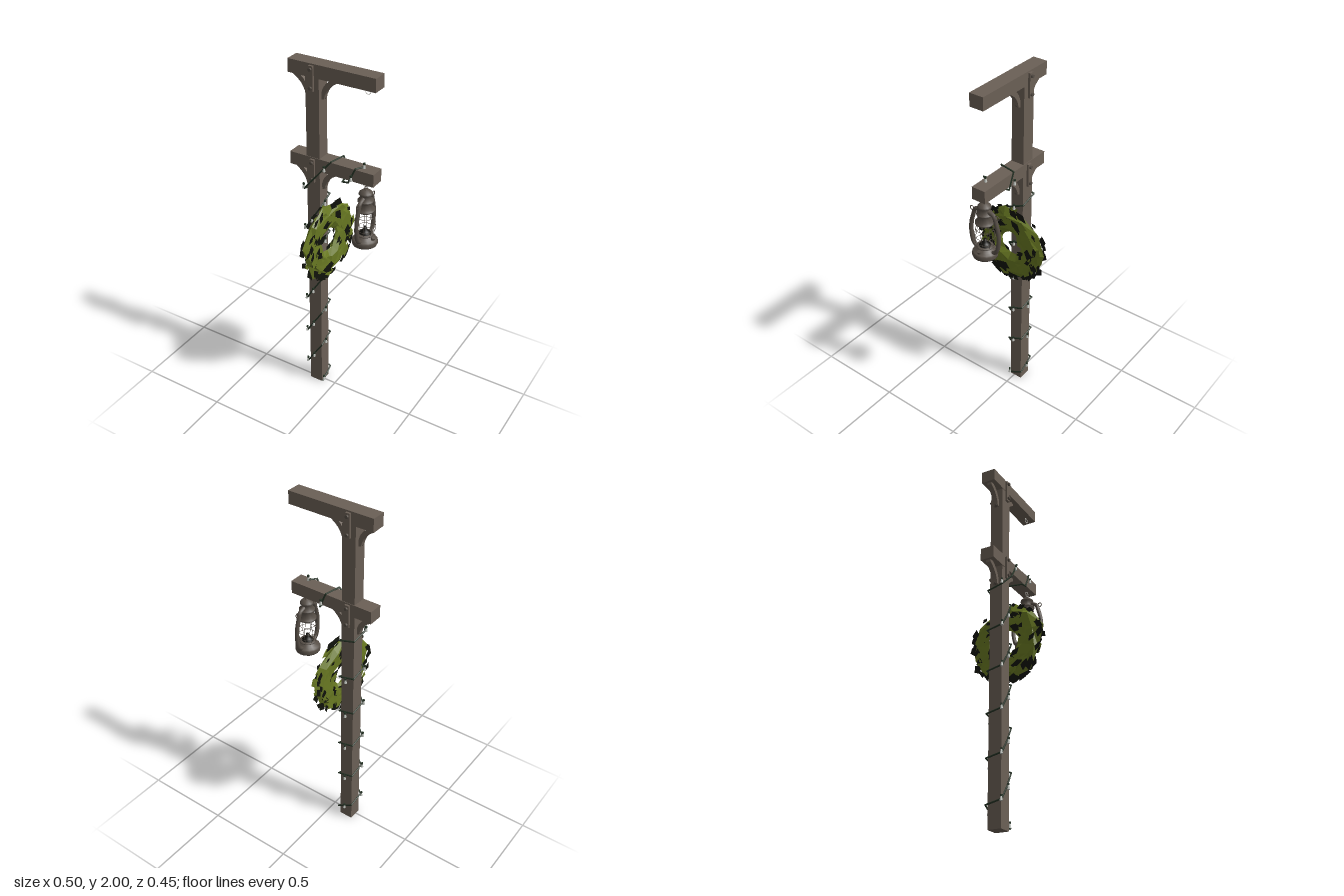
import * as THREE from 'three';

const mat = (name, color, side = THREE.FrontSide, flatShading = false) => {
  const m = new THREE.MeshStandardMaterial({ color, side, flatShading });
  m.name = name;
  return m;
};
const V = (x, y, z) => new THREE.Vector3(x, y, z);

export function createModel() {
  const wood = mat('weatheredWood', 0x6b6056, THREE.FrontSide, true);
  const metal = mat('agedMetal', 0x564e46, THREE.DoubleSide);
  const black = mat('soot', 0x14130f, THREE.DoubleSide);
  const leaf = mat('oliveLeaf', 0x687822, THREE.DoubleSide, true);
  const shade = mat('darkLeaf', 0x10120b, THREE.DoubleSide, true);
  const cord = mat('greenCord', 0x263426);
  const glow = mat('paleBulb', 0xc4c8c2);
  const hookMat = mat('paleHook', 0xd4d2cc);

  const root = new THREE.Group();
  root.name = 'lanternPost';
  const add = (name, geo, material, x = 0, y = 0, z = 0, parent = root) => {
    const m = new THREE.Mesh(geo, material);
    m.name = name;
    m.position.set(x, y, z);
    parent.add(m);
    return m;
  };
  const tube = (name, pts, r, material, parent = root, segs = 24, sides = 6) =>
    add(name, new THREE.TubeGeometry(new THREE.CatmullRomCurve3(pts), segs, r, sides), material, 0, 0, 0, parent);

  // Post, two cross beams, curved braces and bolted straps
  const PX = -0.1125, PZ = -0.01;
  add('post', new THREE.BoxGeometry(0.077, 1.96, 0.074), wood, PX, 0.98, PZ);

  const braceShape = new THREE.Shape();
  braceShape.moveTo(0, -0.115);
  braceShape.lineTo(0.014, -0.11);
  braceShape.quadraticCurveTo(0.022, -0.05, 0.085, -0.015);
  braceShape.lineTo(0.085, 0);
  braceShape.lineTo(0.06, 0);
  braceShape.quadraticCurveTo(0.01, -0.03, 0, -0.08);
  braceShape.closePath();
  const braceGeo = new THREE.ExtrudeGeometry(braceShape, { depth: 0.028, bevelEnabled: false, curveSegments: 5 });
  braceGeo.translate(0, 0, -0.014);

  for (const top of [2.0, 1.5]) {
    add('crossBeam', new THREE.BoxGeometry(0.49, 0.07, 0.08), wood, -0.005, top - 0.035, PZ);
    for (const s of [1, -1]) {
      const b = add('brace', braceGeo, wood, PX + s * 0.0385, top - 0.07, PZ);
      if (s < 0) b.rotation.y = Math.PI;
      for (const [dx, dy] of [[0.046, -0.175], [0.11, -0.078]])
        add('braceBolt', new THREE.SphereGeometry(0.01, 8, 6), metal, PX + s * dx, top + dy, PZ);
      add('strap', new THREE.BoxGeometry(0.026, 0.13, 0.012), wood, PX, top - 0.073, PZ + s * 0.046);
      for (const dy of [-0.025, -0.12]) {
        const bolt = add('strapBolt', new THREE.CylinderGeometry(0.009, 0.009, 0.012, 8), metal, PX, top + dy, PZ + s * 0.056);
        bolt.rotation.x = Math.PI / 2;
      }
    }
    // Hook below the outer end of the beam
    add('hook', new THREE.TorusGeometry(0.014, 0.002, 6, 16), hookMat, 0.183, top - 0.085, 0);
  }

  // Light string: steep climb on the front, shallow round the other sides
  const L = -0.158, R = -0.066, F = 0.035, B = -0.056;
  const path = [V(R, 0.01, F), V(R, 0.06, B)];
  for (let i = 0; i < 5; i++) {
    const y = 0.14 + i * 0.233;
    path.push(V(L, y - 0.02, B), V(L, y, F), V(PX, y + 0.075, F + 0.005), V(R, y + 0.15, F), V(R, y + 0.19, B));
  }
  path.push(V(L, 1.29, B), V(L - 0.005, 1.31, F), V(PX, 1.37, 0.064), V(0, 1.508, F),
    V(0.018, 1.508, B), V(0.055, 1.42, B), V(0.065, 1.415, F), V(0.1, 1.42, F), V(0.14, 1.508, F), V(0.165, 1.51, 0));
  const cordPath = new THREE.CurvePath();
  for (let i = 1; i < path.length; i++) cordPath.add(new THREE.LineCurve3(path[i - 1], path[i]));
  for (const c of cordPath.curves) {
    add('lightCord', new THREE.TubeGeometry(c, 1, 0.0045, 6), cord);
    add('cordBend', new THREE.SphereGeometry(0.0047, 6, 5), cord, c.v2.x, c.v2.y, c.v2.z);
  }
  const bulbGeo = new THREE.CylinderGeometry(0.004, 0.008, 0.022, 8);
  const bulb = (x, y, z) => {
    add('bulb', bulbGeo, glow, x, y, z);
    add('bulbSocket', new THREE.CylinderGeometry(0.006, 0.006, 0.01, 6), cord, x, y + 0.015, z);
  };
  for (let i = 0; i < 5; i++) {
    const y = 0.14 + i * 0.233;
    bulb(L - 0.006, y, F);
    bulb(PX, y + 0.065, F + 0.012);
    bulb(R + 0.006, y + 0.16, 0);
    bulb(PX, y - 0.05, B - 0.008);
  }
  bulb(R + 0.005, 0.03, F - 0.01);
  bulb(L - 0.01, 1.32, F);
  bulb(-0.035, 1.46, 0.048);
  bulb(0.035, 1.46, -0.075);
  bulb(0.125, 1.455, 0.052);
  bulb(0.17, 1.515, 0);

  // Wreath: ragged flattened ring with loose leaves
  let seed = 7;
  const rnd = () => (seed = (seed * 16807) % 2147483647) / 2147483647;
  const wreath = new THREE.Group();
  wreath.name = 'wreath';
  wreath.position.set(-0.042, 1.015, 0);
  wreath.rotation.set(0, Math.PI / 2 - 0.06, 0.06);
  root.add(wreath);
  const ring = new THREE.TorusGeometry(0.143, 0.075, 6, 11);
  const p = ring.attributes.position;
  for (let i = 0; i < p.count; i++) {
    const a = Math.atan2(p.getY(i), p.getX(i)), z = p.getZ(i);
    const k = 1 + 0.06 * Math.sin(a * 5 + z * 40) + 0.03 * Math.sin(a * 3 + 1);
    p.setXYZ(i, p.getX(i) * k, p.getY(i) * k, z * 0.36 + 0.004 * Math.sin(a * 4));
  }
  add('wreathRing', ring.toNonIndexed(), leaf, 0, 0, 0, wreath).geometry.computeVertexNormals();

  // Pointed leaves lie along the ring on both faces and stick out at the rim
  const leaves = (name, count, material, r0, r1, lift, size) => {
    const pos = [];
    for (let i = 0; i < count; i++) {
      const a = rnd() * Math.PI * 2, r = r0 + rnd() * (r1 - r0), side = i % 2 ? 1 : -1;
      const dir = a + Math.PI / 2 + (rnd() - 0.5) * 1.5, len = size * (0.6 + rnd() * 0.8), w = len * 0.3;
      const t = Math.min(1, Math.abs(r - 0.143) / 0.08);
      const z = side * (0.028 * Math.sqrt(1 - t * t) + lift);
      const at = (u, v, dz) => [r * Math.cos(a) + u * Math.cos(dir) - v * Math.sin(dir),
        r * Math.sin(a) + u * Math.sin(dir) + v * Math.cos(dir), z + dz];
      const q = [at(-len / 2, 0, 0), at(0, -w, side * 0.002), at(len / 2, 0, (rnd() - 0.5) * 0.01), at(len * 0.1, w, 0)];
      pos.push(...q[0], ...q[1], ...q[2], ...q[0], ...q[2], ...q[3]);
    }
    const g = new THREE.BufferGeometry();
    g.setAttribute('position', new THREE.Float32BufferAttribute(pos, 3));
    g.computeVertexNormals();
    add(name, g, material, 0, 0, 0, wreath);
  };
  leaves('darkLeaves', 64, shade, 0.08, 0.205, 0.002, 0.06);
  leaves('oliveLeaves', 50, leaf, 0.09, 0.195, 0.003, 0.07);
  leaves('rimLeaves', 40, shade, 0.2, 0.217, 0.002, 0.06);

  // Storm lantern
  const lantern = new THREE.Group();
  lantern.name = 'lantern';
  lantern.position.set(0.183, 1.07, 0);
  root.add(lantern);
  const lathe = (name, pts, material, segs = 16) =>
    add(name, new THREE.LatheGeometry(pts.map(([x, y]) => new THREE.Vector2(x, y)), segs), material, 0, 0, 0, lantern);
  lathe('fuelTank', [[0, 0], [0.066, 0], [0.068, 0.006], [0.068, 0.024], [0.062, 0.032], [0.046, 0.038], [0.04, 0.05], [0.028, 0.056], [0, 0.056]], metal);
  lathe('burner', [[0.03, 0.054], [0.032, 0.062], [0.02, 0.075], [0.01, 0.085], [0.008, 0.1], [0, 0.1]], black);
  lathe('globeCollar', [[0.03, 0.05], [0.044, 0.054], [0.044, 0.06], [0.03, 0.062]], metal);
  lathe('innerHood', [[0.036, 0.2], [0.034, 0.19], [0.02, 0.18], [0, 0.178]], black);
  lathe('chimney', [[0.038, 0.195], [0.05, 0.2], [0.05, 0.208], [0.038, 0.216], [0.034, 0.245], [0.042, 0.252], [0.042, 0.26],
    [0.03, 0.268], [0.028, 0.29], [0.037, 0.294], [0.034, 0.304], [0.02, 0.316], [0, 0.32]], metal);
  for (let i = 0; i < 8; i++) {
    const a = (i + 0.5) * Math.PI / 4;
    const pts = [[0.04, 0.058], [0.052, 0.09], [0.055, 0.12], [0.047, 0.165], [0.04, 0.2]];
    tube('globeWire', pts.map(([r, y]) => V(r * Math.cos(a), y, r * Math.sin(a))), 0.0014, metal, lantern, 10, 4);
  }
  for (const [r, y] of [[0.052, 0.09], [0.055, 0.125], [0.047, 0.165]])
    add('globeHoop', new THREE.TorusGeometry(r, 0.0014, 4, 20), metal, 0, y, 0, lantern).rotation.x = Math.PI / 2;
  for (const s of [1, -1]) {
    // Bowed side tubes with small ears
    tube('sideTube', [V(0, 0.03, s * 0.05), V(0, 0.05, s * 0.074), V(0, 0.11, s * 0.088), V(0, 0.17, s * 0.086),
      V(0, 0.225, s * 0.072), V(0, 0.262, s * 0.058), V(0, 0.275, s * 0.025)], 0.0115, metal, lantern, 24, 8);
    add('ear', new THREE.TorusGeometry(0.012, 0.0025, 6, 12), metal, 0, 0.258, s * 0.08, lantern).rotation.y = Math.PI / 2;
  }
  const filler = add('fillerCap', new THREE.CylinderGeometry(0.011, 0.013, 0.014, 10), metal, 0.047, 0.042, 0, lantern);
  filler.rotation.z = -0.4;
  add('hangingRing', new THREE.TorusGeometry(0.012, 0.0025, 6, 14), metal, 0, 0.328, 0, lantern).rotation.y = Math.PI / 2;

  return root;
}
